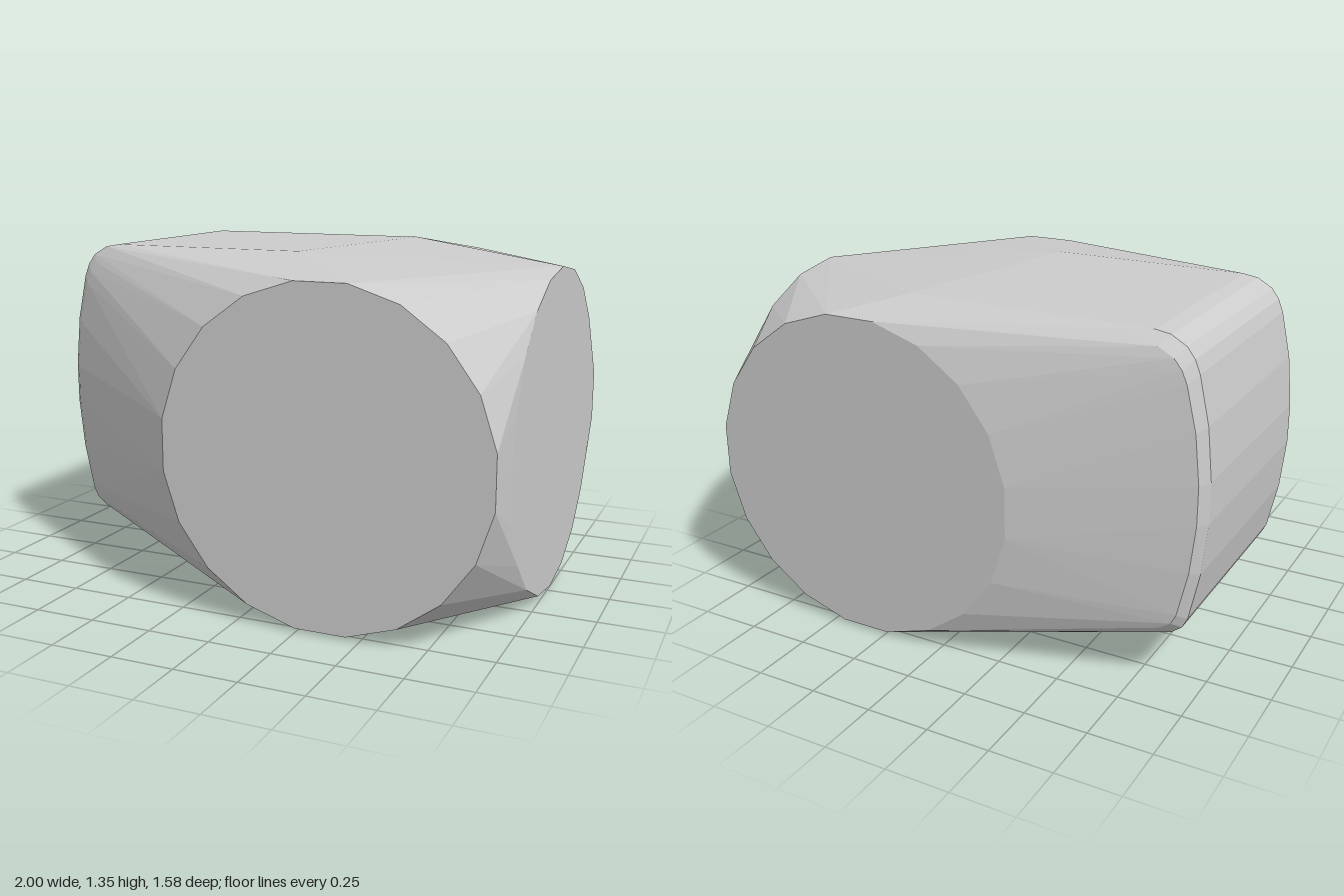
import * as THREE from 'three';
import { ConvexGeometry } from 'three/addons/geometries/ConvexGeometry.js';

const SIDES = 20;

// Points around a disc; place(c, s) turns the unit circle into a position
function ring(phase, place) {
  return Array.from({ length: SIDES }, (_, i) => {
    const a = ((i + phase) / SIDES) * Math.PI * 2;
    return new THREE.Vector3(...place(Math.cos(a), Math.sin(a)));
  });
}

export function createModel() {
  const group = new THREE.Group();
  const points = [];

  // Flat round faces on the front, the back and the +x side
  points.push(...ring(0.5, (c, s) => [0.345 + 0.652 * c, 0.655 + 0.65 * s, 0.787]));
  points.push(...ring(0.5, (c, s) => [0.345 + 0.66 * c, 0.655 + 0.65 * s, -0.793]));
  points.push(...ring(0, (c, s) => [1, 0.652 + 0.65 * s, -0.05 + 0.68 * c]));

  // Bowed -x end: rounded profile (x, y) swept across z, with a small bevel
  const profile = [
    [-0.77, 1.355], [-0.83, 1.345], [-0.89, 1.31], [-0.92, 1.27], [-0.94, 1.22],
    [-0.98, 1.04], [-1, 0.84], [-1, 0.68], [-0.98, 0.48], [-0.94, 0.29],
    [-0.92, 0.25], [-0.88, 0.22],
  ];
  for (const [x, y] of profile) {
    for (const z of [0.32, -0.575]) points.push(new THREE.Vector3(x, y, z));
    const bx = x + 0.028;
    const by = 0.77 + (y - 0.77) * 0.94;
    for (const z of [0.35, -0.62]) points.push(new THREE.Vector3(bx, by, z));
  }

  // Far corners of the flat top
  points.push(new THREE.Vector3(0.05, 1.355, 0.32), new THREE.Vector3(0.22, 1.355, -0.575));

  // One faceted convex skin around all the faces
  const body = new THREE.Mesh(
    new ConvexGeometry(points),
    new THREE.MeshStandardMaterial({ color: 0xcccccc, flatShading: true })
  );
  body.name = 'facetedBody';
  group.add(body);
  return group;
}
